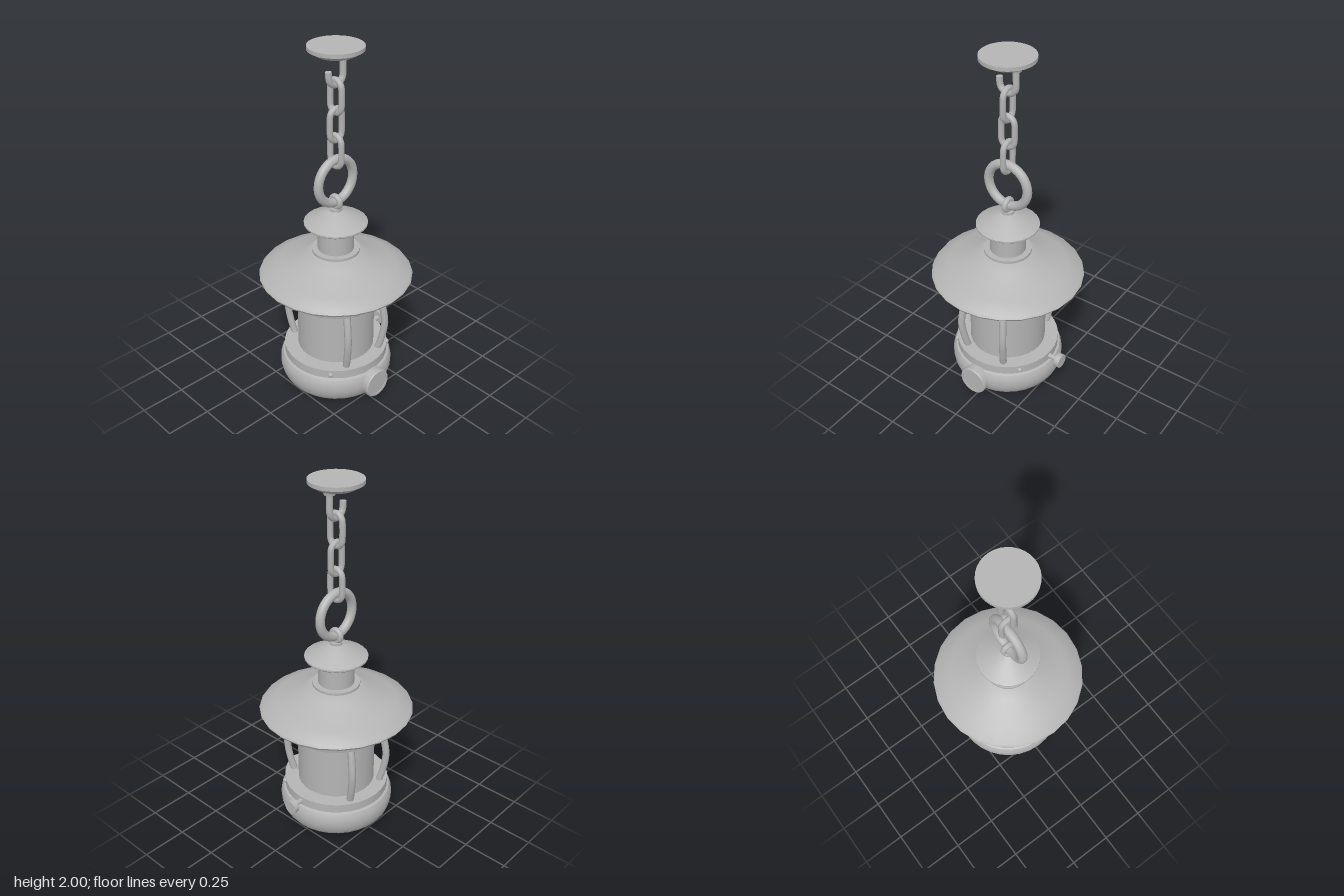
import * as THREE from 'three';
import { toCreasedNormals } from 'three/addons/utils/BufferGeometryUtils.js';

export function createModel() {
  const group = new THREE.Group();
  const metal = new THREE.MeshStandardMaterial({ color: 0xb4b4b4 });
  metal.name = 'grey metal';

  const add = (name, geometry, x = 0, y = 0, z = 0) => {
    const mesh = new THREE.Mesh(geometry, metal);
    mesh.name = name;
    mesh.position.set(x, y, z);
    group.add(mesh);
    return mesh;
  };
  // turned part from [radius, height] pairs, bottom to top
  const turned = (name, profile, segments = 32, crease = 0.5) => {
    const points = profile.map(([r, y]) => new THREE.Vector2(r, y));
    return add(name, toCreasedNormals(new THREE.LatheGeometry(points, segments), crease));
  };
  // rod along a path, with closed ends
  const rod = (name, curve, radius, steps, sides = 10) => {
    const mesh = add(name, new THREE.TubeGeometry(curve, steps, radius, sides, false));
    [0, 1].forEach((t) => {
      const cap = new THREE.Mesh(new THREE.CircleGeometry(radius, sides), metal);
      cap.name = name + 'End';
      cap.position.copy(curve.getPointAt(t));
      const out = curve.getTangentAt(t).multiplyScalar(t ? 1 : -1);
      cap.quaternion.setFromUnitVectors(new THREE.Vector3(0, 0, 1), out);
      mesh.add(cap);
    });
    return mesh;
  };

  // rounded fuel tank with foot and upper band
  turned('foot', [[0, 0], [0.212, 0], [0.216, 0.006], [0.216, 0.03], [0, 0.03]]);
  turned('tank', [[0, 0.022], [0.215, 0.022], [0.255, 0.032], [0.285, 0.05], [0.305, 0.078],
    [0.316, 0.115], [0.318, 0.145], [0.314, 0.175], [0.303, 0.197], [0.285, 0.205], [0, 0.205]]);
  turned('tankBand', [[0.28, 0.2], [0.292, 0.205], [0.292, 0.255], [0.2, 0.255]]);

  // filler cap on the front of the tank
  const filler = turned('fillerCap', [[0, -0.06], [0.083, -0.06], [0.083, 0.035], [0.079, 0.042],
    [0.066, 0.042], [0.066, 0.038], [0, 0.038]], 24);
  filler.position.set(0, 0.13, 0.3);
  filler.rotation.x = Math.PI / 2;

  // wick adjuster on the left side
  const shaft = add('wickShaft', new THREE.CylinderGeometry(0.015, 0.015, 0.09, 12), 0.31, 0.228, 0);
  const knob = add('wickKnob', new THREE.CylinderGeometry(0.04, 0.04, 0.03, 20), 0.36, 0.228, 0);
  shaft.rotation.z = knob.rotation.z = Math.PI / 2;

  // glass chimney and upper collar
  add('glass', new THREE.CylinderGeometry(0.215, 0.215, 0.42, 32), 0, 0.44, 0);
  turned('upperCollar', [[0.2, 0.6], [0.283, 0.6], [0.291, 0.645], [0.306, 0.65], [0.306, 0.66],
    [0.296, 0.664], [0.296, 0.69], [0.28, 0.71]]);

  // four bowed guard bars
  for (const angle of [30, 150, 210, 330]) {
    const a = THREE.MathUtils.degToRad(angle);
    const path = [[0.246, 0.24], [0.27, 0.33], [0.284, 0.43], [0.27, 0.53], [0.246, 0.62]]
      .map(([r, y]) => new THREE.Vector3(r * Math.sin(a), y, r * Math.cos(a)));
    rod('guardBar', new THREE.CatmullRomCurve3(path), 0.02, 16, 8);
  }

  // rivets on both bands
  const rivet = (degrees, r, y) => {
    const a = THREE.MathUtils.degToRad(degrees);
    add('rivet', new THREE.SphereGeometry(0.014, 10, 8), r * Math.sin(a), y, r * Math.cos(a));
  };
  [-60, -20, 20, 60].forEach((d) => rivet(d, 0.288, 0.622));
  [-49, 49].forEach((d) => rivet(d, 0.292, 0.228));

  // wide roof, vent and vent cap
  turned('roof', [[0.2, 0.705], [0.36, 0.695], [0.395, 0.7], [0.414, 0.71], [0.42, 0.721],
    [0.41, 0.735], [0.33, 0.766], [0.24, 0.802], [0.18, 0.833], [0.13, 0.86], [0, 0.86]], 24, 0.9);
  turned('ventRing', [[0.13, 0.85], [0.13, 0.875], [0, 0.875]], 24);
  add('vent', new THREE.CylinderGeometry(0.098, 0.098, 0.17, 24), 0, 0.95, 0);
  turned('ventCap', [[0, 1.022], [0.165, 1.022], [0.171, 1.028], [0.171, 1.037], [0.12, 1.064],
    [0.07, 1.09], [0.034, 1.105], [0.034, 1.118], [0, 1.118]], 24);

  // carrying ring and its small eyelet
  const eyelet = add('eyelet', new THREE.TorusGeometry(0.03, 0.016, 10, 20), 0, 1.153, 0);
  eyelet.rotation.y = Math.PI / 2;
  add('carryRing', new THREE.TorusGeometry(0.122, 0.025, 12, 32), 0, 1.275, 0);

  // chain of three alternating oval links
  [1.445, 1.59, 1.74].forEach((y, i) => {
    const points = [];
    const n = 24, r = 0.04, half = 0.046;
    for (let k = 0; k < n; k++) {
      const a = ((k + 0.5) / n) * Math.PI * 2;
      points.push(new THREE.Vector3(r * Math.cos(a), r * Math.sin(a) + half * Math.sign(Math.sin(a)), 0));
    }
    const curve = new THREE.CatmullRomCurve3(points, true);
    const link = add('chainLink', new THREE.TubeGeometry(curve, 48, 0.016, 8, true), 0, y, 0);
    link.rotation.y = i % 2 ? 0 : Math.PI / 2;
  });

  // ceiling hook and plate
  const hook = [new THREE.Vector3(0.048, 1.95, 0), new THREE.Vector3(0.048, 1.89, 0)];
  for (let k = 0; k <= 8; k++) {
    const a = (-k / 8) * Math.PI;
    hook.push(new THREE.Vector3(0.048 * Math.cos(a), 1.848 + 0.048 * Math.sin(a), 0));
  }
  hook.push(new THREE.Vector3(-0.05, 1.876, 0));
  rod('hook', new THREE.CatmullRomCurve3(hook), 0.017, 40);
  add('hookBase', new THREE.CylinderGeometry(0.034, 0.028, 0.03, 16), 0.048, 1.945, 0);
  turned('ceilingPlate', [[0, 1.955], [0.1, 1.955], [0.142, 1.98], [0.142, 2], [0, 2]], 32, 0.4);

  return group;
}
